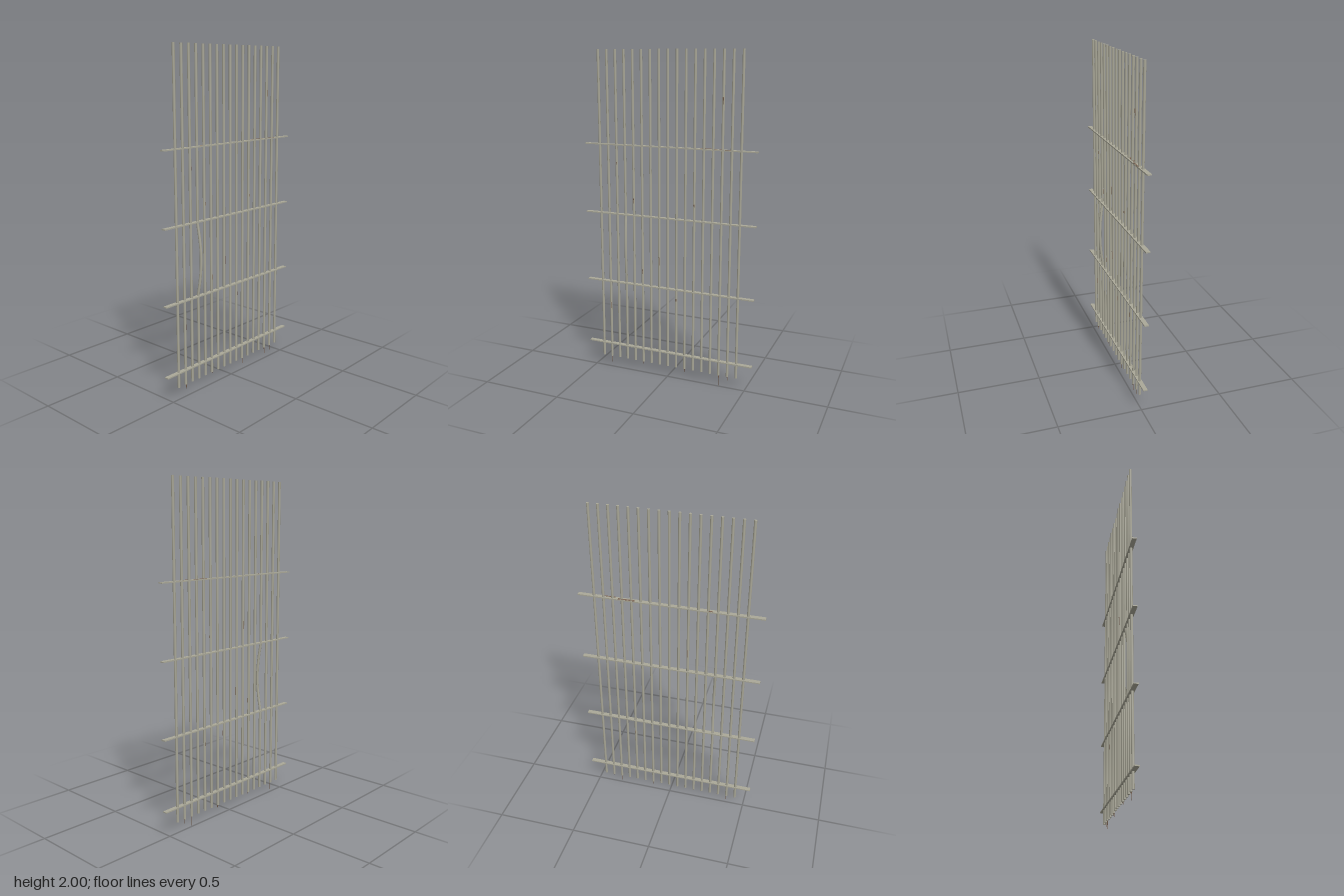
import * as THREE from 'three';

const BAR_X = -0.008, BAR_R = 0.008, BAR_BOTTOM = 0.07, BAR_TOP = 2;
const BARS = 17, SPACING = 0.0556;
const RAIL_Y = [0.16, 0.58, 1.02, 1.445];

export function createModel() {
  const steel = new THREE.MeshStandardMaterial({ color: 0xaaa898 });
  steel.name = 'weathered steel';
  const rust = new THREE.MeshStandardMaterial({ color: 0x7d6554 });
  rust.name = 'rust';

  const model = new THREE.Group();
  model.name = 'barGrille';
  const add = (geometry, material, name, x, y, z) => {
    const mesh = new THREE.Mesh(geometry, material);
    mesh.name = name;
    mesh.position.set(x, y, z);
    model.add(mesh);
    return mesh;
  };

  // Upright round bars, one of them bowed outwards
  const height = BAR_TOP - BAR_BOTTOM;
  const barGeometry = new THREE.CylinderGeometry(BAR_R, BAR_R, height, 8);
  const bentIndex = 13;
  for (let i = 0; i < BARS; i++) {
    const z = (i - (BARS - 1) / 2) * SPACING;
    if (i !== bentIndex) {
      add(barGeometry, steel, 'uprightBar', BAR_X, BAR_BOTTOM + height / 2, z);
      continue;
    }
    const points = [BAR_BOTTOM, 0.3, 0.5].map(y => new THREE.Vector3(BAR_X, y, z));
    for (let k = 0; k <= 10; k++) {
      const bow = Math.sin(Math.PI * k / 10);
      points.push(new THREE.Vector3(BAR_X + 0.0195 * bow, 0.59 + 0.042 * k, z - 0.006 * bow));
    }
    [1.1, 1.5, BAR_TOP].forEach(y => points.push(new THREE.Vector3(BAR_X, y, z)));
    const curve = new THREE.CatmullRomCurve3(points);
    add(new THREE.TubeGeometry(curve, 80, BAR_R, 8), steel, 'bentBar', 0, 0, 0);
    // End caps of the bent bar
    for (const [y, turn] of [[BAR_TOP, -1], [BAR_BOTTOM, 1]]) {
      add(new THREE.CircleGeometry(BAR_R, 8), steel, 'bentBarCap', BAR_X, y, z)
        .rotation.x = turn * Math.PI / 2;
    }
  }

  // Flat cross rails
  const railGeometry = new THREE.BoxGeometry(0.026, 0.007, 1.084);
  RAIL_Y.forEach(y => add(railGeometry, steel, 'crossRail', BAR_X + 0.001, y, 0));

  // Rust patches on the top rail: z, length, x, width
  [[-0.25, 0.1, -0.012, 0.012], [-0.36, 0.08, 0.001, 0.007], [0.235, 0.03, -0.014, 0.008]]
    .forEach(([z, length, x, width]) =>
      add(new THREE.BoxGeometry(width, 0.001, length), rust, 'railRust', x, 1.449, z));

  // Thin flakes clinging to bars: bar index, height, length, side
  const flakeGeometry = new THREE.CylinderGeometry(0.0025, 0.001, 1, 4);
  [[15, 0.42, 0.04, 1], [14, 1.33, 0.02, 1], [12, 1.11, 0.03, 1], [10, 1.15, 0.05, -1],
    [11, 0.67, 0.03, 1], [9, 0.75, 0.05, 1], [7, 0.51, 0.03, 1], [5, 1.11, 0.02, 1],
    [4, 0.48, 0.03, -1], [2, 1.72, 0.04, 1]]
    .forEach(([i, y, length, side]) =>
      add(flakeGeometry, rust, 'barFlake', BAR_X + side * 0.0085, y, (i - 8) * SPACING - 0.002)
        .scale.y = length);

  // Drips hanging from the bar ends: bar index, lowest point
  const dripGeometry = new THREE.ConeGeometry(0.0035, 1, 5);
  dripGeometry.rotateX(Math.PI);
  [[15, 0.02], [11, 0.05], [6, 0.03], [2, 0], [1, 0.03]].forEach(([i, low]) => {
    const length = BAR_BOTTOM - low + 0.01;
    add(dripGeometry, rust, 'rustDrip', BAR_X + 0.002, low + length / 2, (i - 8) * SPACING - 0.002)
      .scale.y = length;
  });

  return model;
}
